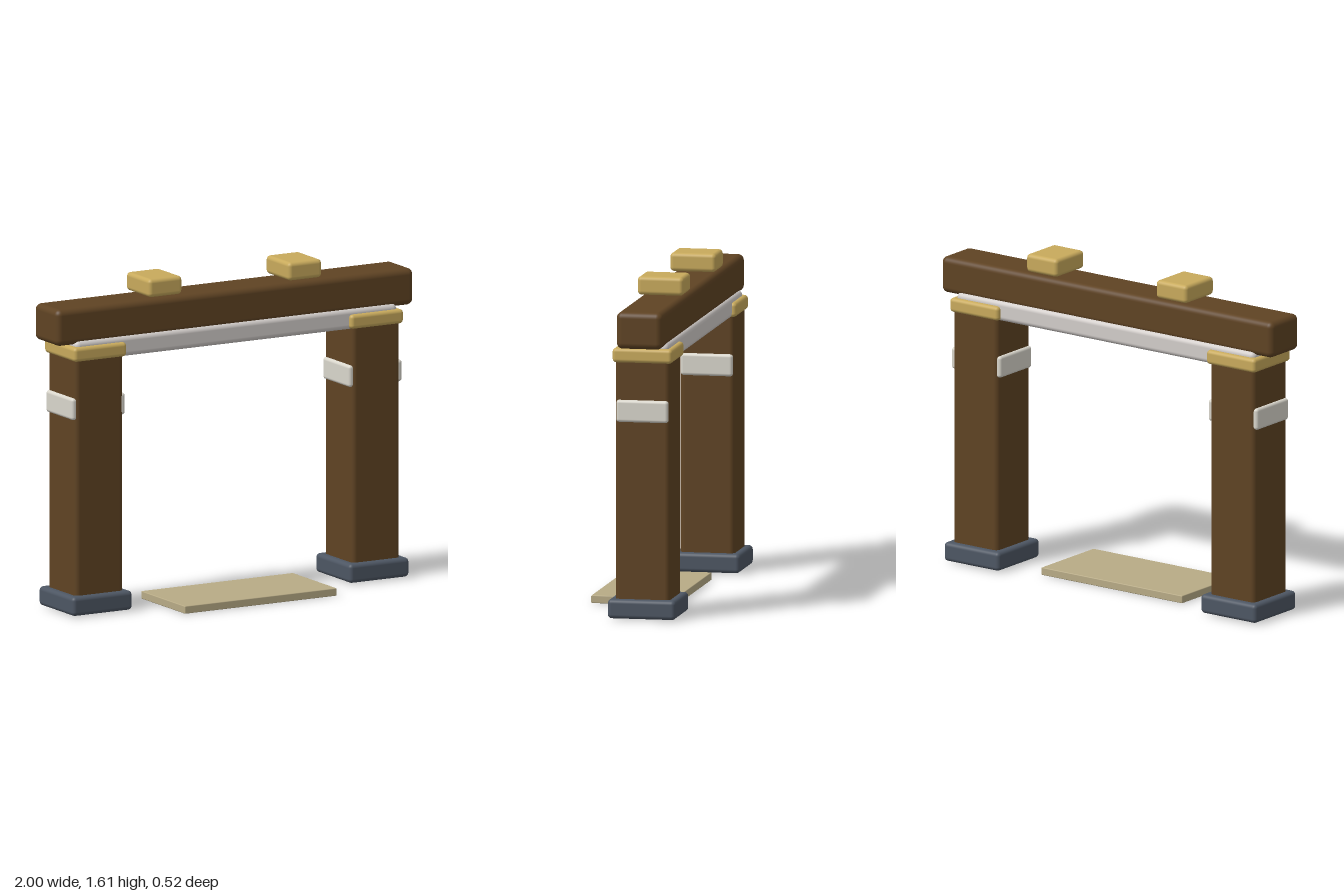
import * as THREE from 'three';
import { RoundedBoxGeometry } from 'three/addons/geometries/RoundedBoxGeometry.js';

const mat = (color) => new THREE.MeshStandardMaterial({ color });
const wood = mat(0x5f4323);
const gold = mat(0xc8aa5c);
const pale = mat(0xd9d6cc);
const lintelGrey = mat(0xd2cdca);
const stone = mat(0x4d5663);
const sand = mat(0xb8ab86);

// Depth at which the gate frame is centred
const GATE_Z = -0.093;

// Rounded block from its width, depth, bottom and top
function block(name, material, x, width, bottom, top, depth, radius) {
  const height = top - bottom;
  const mesh = new THREE.Mesh(new RoundedBoxGeometry(width, height, depth, 4, radius), material);
  mesh.name = name;
  mesh.position.set(x, (bottom + top) / 2, GATE_Z);
  return mesh;
}

// Post with its foot, capital and side bands
function createPost(side) {
  const post = new THREE.Group();
  post.name = side > 0 ? 'leftPost' : 'rightPost';
  const x = side * 0.775;
  post.add(
    block('shaft', wood, x, 0.27, 0.005, 1.28, 0.27, 0.025),
    block('foot', stone, x, 0.335, 0.006, 0.1, 0.335, 0.02),
    block('capital', gold, x, 0.295, 1.255, 1.325, 0.295, 0.018),
  );
  for (const s of [-1, 1]) {
    post.add(block('band', pale, x + s * 0.134, 0.032, 0.965, 1.073, 0.257, 0.015));
  }
  return post;
}

export function createModel() {
  const gate = new THREE.Group();
  gate.name = 'gate';

  for (const side of [-1, 1]) {
    gate.add(createPost(side));
    gate.add(block('roofBlock', gold, side * 0.391, 0.188, 1.522, 1.612, 0.227, 0.02));
  }

  // Cross members
  gate.add(block('lintel', lintelGrey, 0, 1.8, 1.25, 1.352, 0.25, 0.025));
  gate.add(block('beam', wood, 0, 2, 1.333, 1.513, 0.227, 0.03));

  // Ground slab between the posts
  const slab = new THREE.Mesh(new RoundedBoxGeometry(0.85, 0.038, 0.42, 2, 0.004), sand);
  slab.name = 'thresholdSlab';
  slab.position.set(0, 0.019, 0.05);
  gate.add(slab);

  return gate;
}
